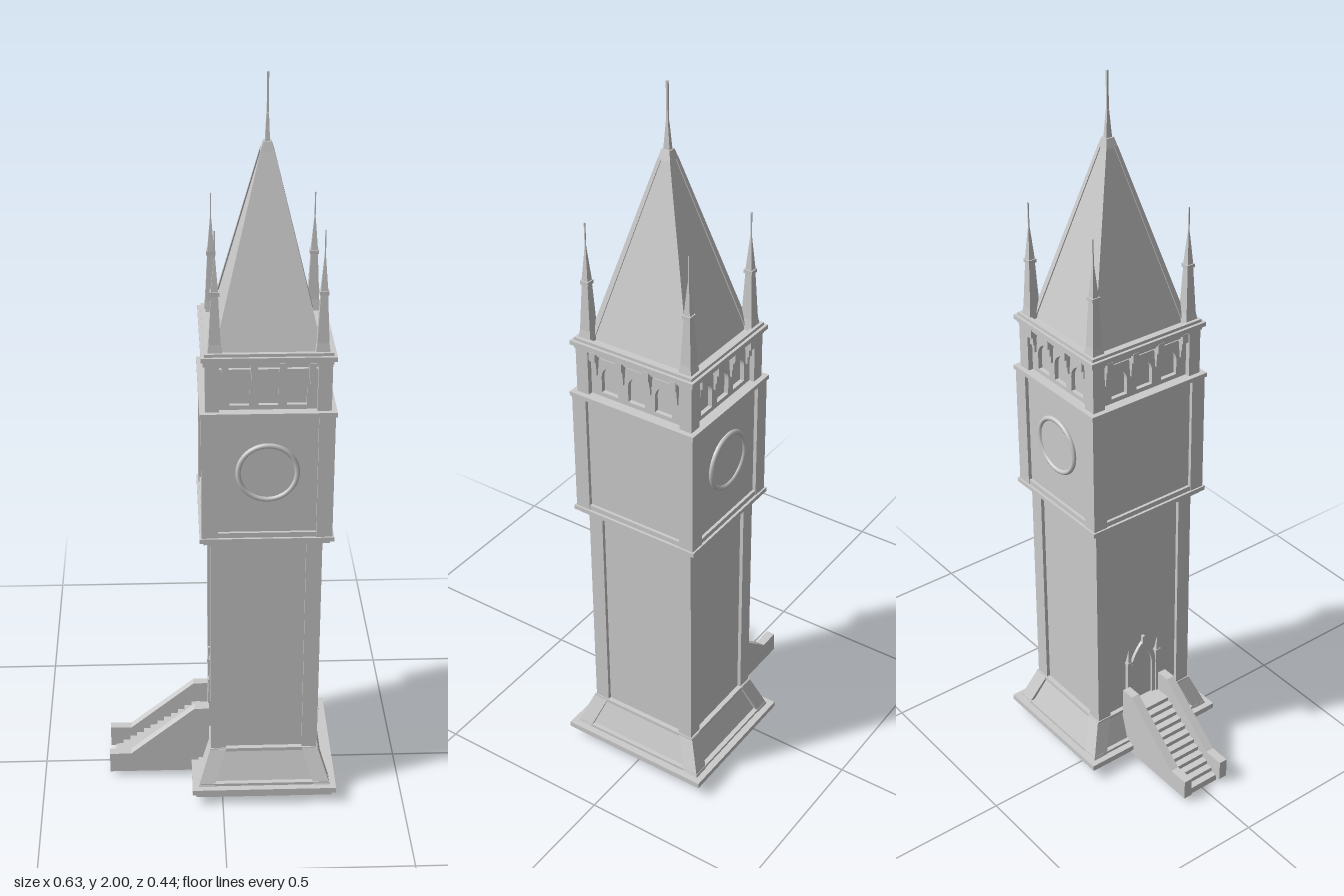
import * as THREE from 'three';

const mat = new THREE.MeshStandardMaterial({ color: 0xcccccc, flatShading: true });
const thin = new THREE.MeshStandardMaterial({ color: 0xcccccc, flatShading: true, side: THREE.DoubleSide });
const smooth = new THREE.MeshStandardMaterial({ color: 0xcccccc });

function add(parent, name, geo, x = 0, y = 0, z = 0, m = mat) {
  const mesh = new THREE.Mesh(geo, m);
  mesh.name = name;
  mesh.position.set(x, y, z);
  parent.add(mesh);
  return mesh;
}

function group(parent, name) {
  const g = new THREE.Group();
  g.name = name;
  parent.add(g);
  return g;
}

// Box given by half sizes and a height range
const block = (p, name, hx, hz, y0, y1, x = 0, z = 0) =>
  add(p, name, new THREE.BoxGeometry(2 * hx, y1 - y0, 2 * hz), x, (y0 + y1) / 2, z);

// Box whose upper rectangle differs from the lower one, optionally shifted
function taper(p, name, hx0, hz0, y0, hx1, hz1, y1, x = 0, z = 0, dx = 0, dz = 0) {
  const g = new THREE.BoxGeometry(2, 1, 2), a = g.attributes.position;
  for (let i = 0; i < a.count; i++) {
    const top = a.getY(i) > 0;
    a.setXYZ(i, a.getX(i) * (top ? hx1 : hx0) + (top ? dx : 0), top ? y1 : y0,
      a.getZ(i) * (top ? hz1 : hz0) + (top ? dz : 0));
  }
  g.computeVertexNormals();
  return add(p, name, g, x, 0, z);
}

// Rectangular ring with an open middle
function ring(p, name, hx, hz, y0, y1, w) {
  const s = rect(new THREE.Shape(), -hx, -hz, hx, hz);
  s.holes.push(rect(new THREE.Path(), -hx + w, -hz + w, hx - w, hz - w));
  const g = new THREE.ExtrudeGeometry(s, { depth: y1 - y0, bevelEnabled: false });
  return add(p, name, g.rotateX(-Math.PI / 2), 0, y0, 0);
}

function rect(s, x0, y0, x1, y1) {
  s.moveTo(x0, y0).lineTo(x1, y0).lineTo(x1, y1).lineTo(x0, y1).closePath();
  return s;
}

// Pointed arch outline
function arch(s, x, y0, hw, spring, top) {
  s.moveTo(x - hw, y0).lineTo(x + hw, y0).lineTo(x + hw, spring);
  s.quadraticCurveTo(x + hw, (spring + top) / 2 + 0.005, x, top);
  s.quadraticCurveTo(x - hw, (spring + top) / 2 + 0.005, x - hw, spring);
  s.closePath();
  return s;
}

const extrude = (s, depth) => new THREE.ExtrudeGeometry(s, { depth, bevelEnabled: false, curveSegments: 6 });

function corners(fn) {
  for (const sx of [-1, 1]) for (const sz of [-1, 1]) fn(sx, sz);
}

// Calls fn with a group facing outward for each side, its half width and its distance
function sides(p, name, hx, hz, fn) {
  for (let k = 0; k < 4; k++) {
    const g = group(p, name);
    g.rotation.y = k * Math.PI / 2;
    fn(g, k % 2 ? hz : hx, k % 2 ? hx : hz, k);
  }
}

// Recessed storey with four corner pillars
function storey(p, name, hx, hz, y0, y1, pillar, inset) {
  const g = group(p, name);
  block(g, name + 'Wall', hx - inset, hz - inset, y0, y1);
  corners((sx, sz) => block(g, name + 'Pillar', pillar / 2, pillar / 2, y0, y1,
    sx * (hx - pillar / 2), sz * (hz - pillar / 2)));
  return g;
}

function buildBase(t) {
  const g = group(t, 'base');
  ring(g, 'lowerPlinth', 0.188, 0.211, 0.02, 0.034, 0.03);
  ring(g, 'upperPlinth', 0.199, 0.222, 0.034, 0.05, 0.04);
  // Sloping skirt, open underneath
  const skirt = new THREE.CylinderGeometry(Math.SQRT2, Math.SQRT2, 1, 4, 1, true).rotateY(Math.PI / 4);
  const a = skirt.attributes.position;
  for (let i = 0; i < a.count; i++) {
    const top = a.getY(i) > 0;
    a.setXYZ(i, a.getX(i) * (top ? 0.143 : 0.17), top ? 0.145 : 0.05, a.getZ(i) * (top ? 0.16 : 0.192));
  }
  add(g, 'skirt', skirt, 0, 0, 0, thin);
  corners((sx, sz) => taper(g, 'skirtCorner', 0.022, 0.022, 0.05, 0.022, 0.022, 0.148,
    sx * 0.16, sz * 0.183, -sx * 0.033, -sz * 0.038));
  ring(g, 'skirtFoot', 0.18, 0.203, 0.05, 0.058, 0.02);
  ring(g, 'skirtTop', 0.15, 0.166, 0.14, 0.15, 0.02);
}

function buildClockStorey(t) {
  const g = storey(t, 'clockStorey', 0.17, 0.184, 0.82, 1.17, 0.042, 0.01);
  block(g, 'lowerCornice', 0.165, 0.179, 0.802, 0.812);
  block(g, 'middleCornice', 0.175, 0.189, 0.812, 0.824);
  block(g, 'sill', 0.168, 0.182, 0.824, 0.838);
  block(g, 'upperCornice', 0.174, 0.188, 1.168, 1.18);
  sides(g, 'clockSide', 0.16, 0.174, (s, w, d, k) => {
    if (k % 2) return;
    const face = new THREE.CylinderGeometry(0.072, 0.072, 0.006, 40).rotateX(Math.PI / 2);
    add(s, 'clockFace', face, 0, 1.01, d + 0.001);
    add(s, 'clockRim', new THREE.TorusGeometry(0.076, 0.007, 8, 40), 0, 1.01, d + 0.003, smooth);
  });
}

function buildBelfry(t) {
  const g = storey(t, 'belfry', 0.16, 0.174, 1.18, 1.312, 0.036, 0.03);
  sides(g, 'arcade', 0.16, 0.174, (s, w, d) => {
    const half = w - 0.036, step = 2 * half / 3.4;
    const wall = rect(new THREE.Shape(), -half, 1.18, half, 1.29);
    for (const i of [-1, 0, 1]) wall.holes.push(arch(new THREE.Path(), i * step, 1.192, 0.025, 1.235, 1.272));
    add(s, 'arcadeWall', extrude(wall, 0.012), 0, 0, d - 0.026);
    // Brackets carrying the eaves
    for (const i of [-1.5, -0.5, 0.5, 1.5]) {
      block(s, 'bracketTop', 0.009, 0.012, 1.285, 1.312, i * step, d - 0.008);
      block(s, 'bracketMiddle', 0.007, 0.008, 1.262, 1.285, i * step, d - 0.011);
      block(s, 'bracketFoot', 0.005, 0.005, 1.24, 1.262, i * step, d - 0.013);
    }
    block(s, 'lintel', half, 0.008, 1.298, 1.312, 0, d - 0.014);
  });
  block(g, 'eavesLower', 0.163, 0.177, 1.308, 1.318);
  block(g, 'eavesUpper', 0.17, 0.184, 1.318, 1.33);
  ring(g, 'parapet', 0.162, 0.176, 1.33, 1.338, 0.012);
}

function buildRoof(t) {
  const g = group(t, 'roof');
  const hx = 0.132, hz = 0.147;
  taper(g, 'roofSlopes', hx, hz, 1.33, 0.014, 0.014, 1.81);
  corners((sx, sz) => {
    taper(g, 'hipRib', 0.008, 0.008, 1.33, 0.005, 0.005, 1.81,
      sx * (hx - 0.004), sz * (hz - 0.004), -sx * (hx - 0.016), -sz * (hz - 0.016));
    // Corner pinnacle
    const p = group(g, 'pinnacle');
    p.position.set(sx * 0.135, 0, sz * 0.15);
    taper(p, 'pinnacleFoot', 0.019, 0.019, 1.33, 0.015, 0.015, 1.36);
    taper(p, 'pinnacleShaft', 0.015, 0.015, 1.36, 0.009, 0.009, 1.485);
    block(p, 'pinnacleCollar', 0.012, 0.012, 1.485, 1.495);
    taper(p, 'pinnacleSpire', 0.009, 0.009, 1.495, 0.002, 0.002, 1.58);
    block(p, 'pinnacleRod', 0.0015, 0.0015, 1.58, 1.65);
  });
  taper(g, 'roofCap', 0.018, 0.018, 1.805, 0.01, 0.012, 1.83);
  taper(g, 'finial', 0.006, 0.009, 1.83, 0.003, 0.003, 1.9);
  block(g, 'finialRod', 0.0025, 0.0025, 1.9, 2.0);
}

function buildDoor(t) {
  const g = group(t, 'door');
  g.rotation.y = -Math.PI / 2;
  const d = 0.137;
  const frame = arch(new THREE.Shape(), 0, 0.15, 0.043, 0.27, 0.36);
  frame.holes.push(arch(new THREE.Path(), 0, 0.155, 0.031, 0.265, 0.335));
  add(g, 'doorFrame', extrude(frame, 0.009), 0, 0, d);
  add(g, 'doorLeaf', extrude(arch(new THREE.Shape(), 0, 0.15, 0.034, 0.265, 0.34), 0.003), 0, 0, d);
  block(g, 'doorFinial', 0.004, 0.005, 0.35, 0.378, 0, d + 0.007);
  for (const s of [-1, 1]) {
    block(g, 'doorPost', 0.007, 0.006, 0.15, 0.3, s * 0.051, d + 0.006);
    block(g, 'doorPostCollar', 0.009, 0.008, 0.3, 0.308, s * 0.051, d + 0.006);
    taper(g, 'doorPostSpire', 0.006, 0.006, 0.308, 0.001, 0.001, 0.345, s * 0.051, d + 0.006);
  }
}

function buildStairs(root) {
  const g = group(root, 'stairs');
  // Side walls with sloping tops
  const s = new THREE.Shape();
  s.moveTo(-0.315, 0.015).lineTo(0.03, 0.015).lineTo(0.03, 0.14).lineTo(-0.035, 0.14).lineTo(-0.035, 0.222);
  s.lineTo(-0.075, 0.222).lineTo(-0.255, 0.075).lineTo(-0.315, 0.075).closePath();
  for (const z of [-0.077, 0.051]) add(g, 'stairWall', extrude(s, 0.025), 0, 0, z);
  // Treads, open underneath
  const n = 12, run = 0.0198, rise = 0.0128;
  for (let i = 0; i < n; i++) {
    const top = 0.02 + i * rise;
    add(g, 'step', new THREE.BoxGeometry(run + 0.004, 0.02, 0.106), -0.297 + (i + 0.5) * run, top - 0.01, 0);
  }
  add(g, 'landing', new THREE.BoxGeometry(0.07, 0.02, 0.106), -0.03, 0.15, 0);
}

export function createModel() {
  const root = new THREE.Group();
  root.name = 'clockTower';
  const tower = group(root, 'tower');
  tower.position.x = 0.115;
  buildBase(tower);
  storey(tower, 'shaft', 0.147, 0.162, 0.14, 0.81, 0.042, 0.01);
  buildClockStorey(tower);
  buildBelfry(tower);
  buildRoof(tower);
  buildDoor(tower);
  buildStairs(root);
  return root;
}
